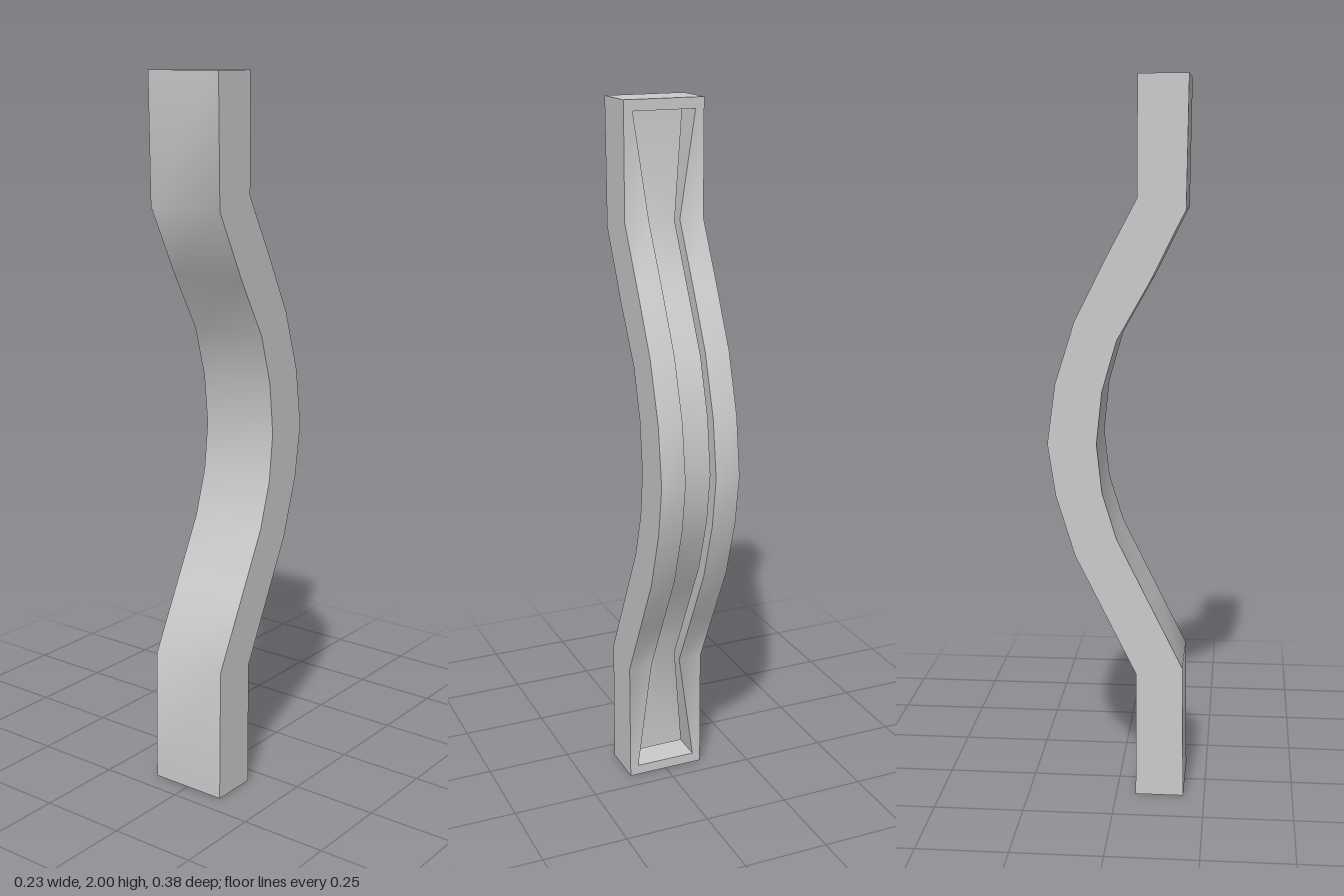
import * as THREE from 'three';
import { toCreasedNormals } from 'three/addons/utils/BufferGeometryUtils.js';

const W = 0.115; // half width of the bar

// Stations up the bar: [back y, back z, front y, front z]
const STATIONS = [
  [0, 0.055, 0, 0.19], [0.36, 0.055, 0.38, 0.185], [0.53, -0.03, 0.57, 0.09],
  [0.70, -0.115, 0.75, 0], [0.87, -0.168, 0.88, -0.04], [1.015, -0.19, 1.015, -0.055],
  [1.18, -0.168, 1.16, -0.04], [1.35, -0.115, 1.30, 0], [1.52, -0.03, 1.46, 0.09],
  [1.68, 0.055, 1.65, 0.185], [2, 0.055, 2, 0.19],
];
const LAST = STATIONS.length - 1;

// Ribbon between two edges; it faces (b - a) x (direction of travel)
function ribbon(a, b) {
  const pos = [];
  for (let i = 0; i + 1 < a.length; i++) {
    for (const p of [a[i], b[i], b[i + 1], a[i], b[i + 1], a[i + 1]]) pos.push(...p);
  }
  const g = new THREE.BufferGeometry();
  g.setAttribute('position', new THREE.Float32BufferAttribute(pos, 3));
  return toCreasedNormals(g, Math.PI / 5);
}

// Long edges of the bar at a given side (+1 or -1)
const frontEdge = s => STATIONS.map(([, , y, z]) => [s * W, y, z]);
const backEdge = s => STATIONS.map(([y, z]) => [s * W, y, z]);

// Edge of the slot in the back: wide at the ends, narrow along the bow
const slotEdge = s => STATIONS.map(([y, z], i) => {
  const end = i === 0 || i === LAST;
  return [s * (end ? 0.09 : 0.045), THREE.MathUtils.clamp(y, 0.03, 1.97), z];
});

// Inner edge of the slot lining, set in towards the front
const liningEdge = s => slotEdge(s).map(([x, y, z], i) => {
  const [by, bz, fy, fz] = STATIONS[i];
  const end = i === 0 || i === LAST;
  const t = end ? 0.67 : 0.3;
  return [x, y + (end ? 0 : (fy - by) * t), z + (fz - bz) * t];
});

export function createModel() {
  const group = new THREE.Group();
  group.name = 'curvedHandle';
  const material = new THREE.MeshStandardMaterial({ color: 0xcccccc, side: THREE.DoubleSide });
  const add = (name, a, b) => {
    const mesh = new THREE.Mesh(ribbon(a, b), material);
    mesh.name = name;
    group.add(mesh);
  };

  const fL = frontEdge(1), fR = frontEdge(-1), bL = backEdge(1), bR = backEdge(-1);
  const sL = slotEdge(1), sR = slotEdge(-1), iL = liningEdge(1), iR = liningEdge(-1);

  // Outer shell
  add('frontFace', fR, fL);
  add('leftSide', fL, bL);
  add('rightSide', bR, fR);
  add('topCap', [fR[LAST], bR[LAST]], [fL[LAST], bL[LAST]]);
  add('bottomCap', [bR[0], fR[0]], [bL[0], fL[0]]);

  // Back rim around the slot
  add('backRimLeft', bL, sL);
  add('backRimRight', sR, bR);
  add('backRimTop', [sL[LAST], bL[LAST]], [sR[LAST], bR[LAST]]);
  add('backRimBottom', [bL[0], sL[0]], [bR[0], sR[0]]);

  // Slot lining, open to the hollow inside
  add('slotLiningLeft', sL, iL);
  add('slotLiningRight', iR, sR);
  add('slotLiningTop', [sR[LAST], iR[LAST]], [sL[LAST], iL[LAST]]);
  add('slotLiningBottom', [iR[0], sR[0]], [iL[0], sL[0]]);

  return group;
}
